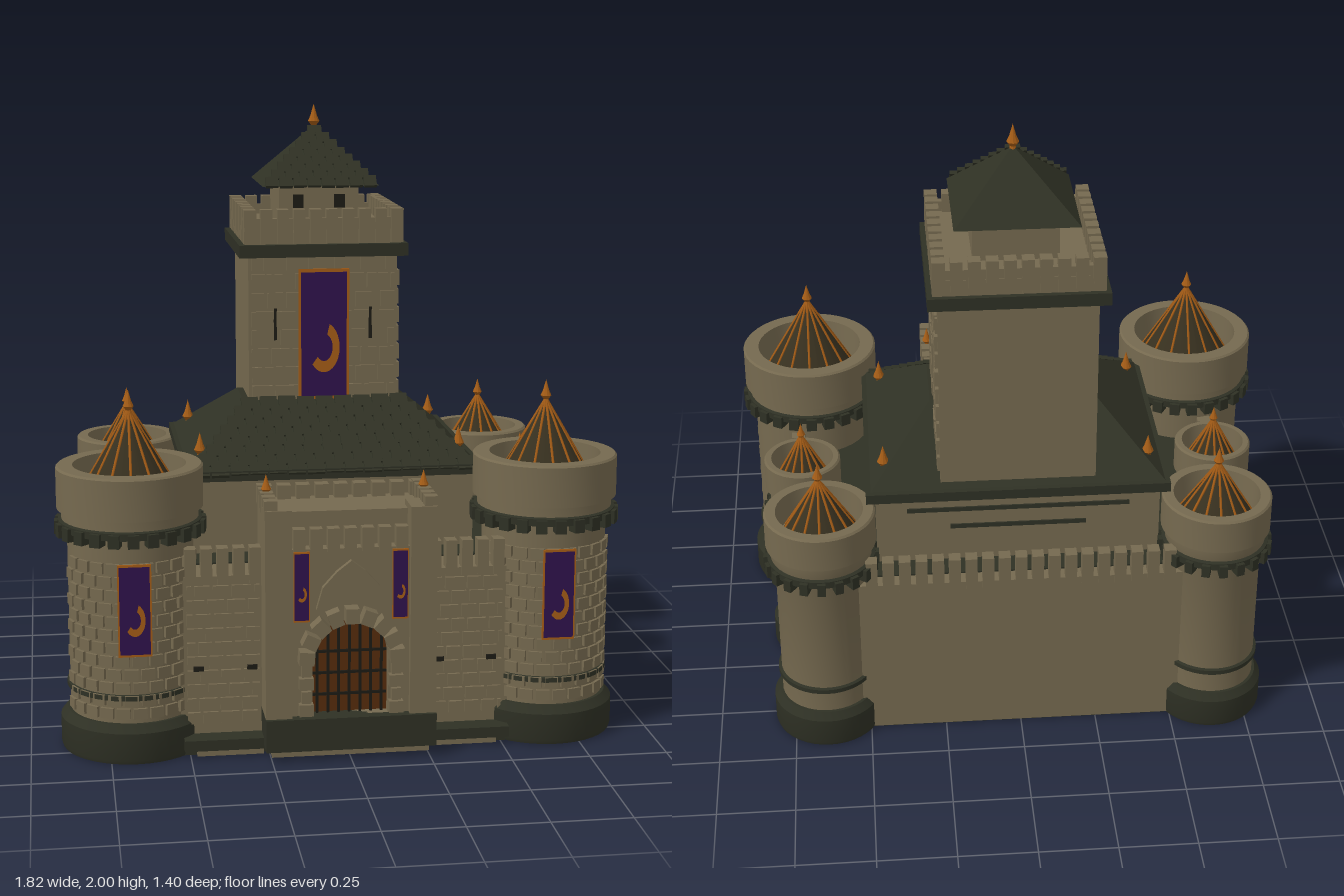
import * as THREE from 'three';
import { mergeGeometries, toCreasedNormals } from 'three/addons/utils/BufferGeometryUtils.js';

const mat = (name, color, side = THREE.FrontSide) => {
  const m = new THREE.MeshStandardMaterial({ color, side });
  m.name = name;
  return m;
};

export function createModel() {
  const stone = mat('stone', 0x75694f), trim = mat('dark trim', 0x2e3024), roof = mat('roof slate', 0x2f3124),
    gold = mat('copper', 0xa45c16), purple = mat('banner purple', 0x2f124c), wood = mat('gate wood', 0x552b0c),
    iron = mat('dark iron', 0x1c1a14), coneMat = mat('cone slate', 0x37301f);
  const root = new THREE.Group();
  let seed = 7;
  const rnd = () => (seed = (seed * 16807) % 2147483647) / 2147483647;

  const add = (name, geo, m, parent = root) => {
    const list = Array.isArray(geo) ? geo : [geo];
    const g = list.length > 1 ? mergeGeometries(list.map(q => (q.index ? q.toNonIndexed() : q))) : list[0];
    const mesh = new THREE.Mesh(g, m);
    mesh.name = name;
    parent.add(mesh);
    return mesh;
  };
  // Box given by its extents
  const ext = (x0, x1, y0, y1, z0, z1) =>
    new THREE.BoxGeometry(x1 - x0, y1 - y0, z1 - z0).translate((x0 + x1) / 2, (y0 + y1) / 2, (z0 + z1) / 2);
  const lathe = (pts, seg = 40) =>
    toCreasedNormals(new THREE.LatheGeometry(pts.map(p => new THREE.Vector2(...p)), seg), 0.5);
  const rod = (a, b, r) => {
    const d = b.clone().sub(a);
    return new THREE.CylinderGeometry(r, r, d.length(), 5)
      .applyQuaternion(new THREE.Quaternion().setFromUnitVectors(new THREE.Vector3(0, 1, 0), d.clone().normalize()))
      .translate((a.x + b.x) / 2, (a.y + b.y) / 2, (a.z + b.z) / 2);
  };
  const finial = (x, y, z, h, parent = root) => add('finial', lathe([[0, 0], [h * 0.14, 0.02 * h], [h * 0.1, h * 0.2],
    [h * 0.22, h * 0.35], [h * 0.13, h * 0.55], [0, h]], 10).translate(x, y, z), gold, parent);

  // Courses of raised stones on a flat face, u along the face
  const courses = (u0, u1, y0, y1, rowH, w, skip = () => false) => {
    const out = [], rows = Math.round((y1 - y0) / rowH);
    for (let r = 0; r < rows; r++) {
      const y = y0 + (r + 0.5) * rowH;
      let u = u0 - (r % 2) * w * 0.5;
      while (u < u1 - 0.01) {
        const ww = w * (0.8 + 0.4 * rnd()), a = Math.max(u, u0), b = Math.min(u + ww, u1);
        if (b - a > 0.02 && !skip((a + b) / 2, y))
          out.push(ext(a + 0.005, b - 0.005, y - rowH * 0.41, y + rowH * 0.41, -0.005, 0.007 + 0.005 * rnd()));
        u += ww;
      }
    }
    return out;
  };
  // Row of merlons along u
  const merlons = (u0, u1, y0, y1, n, d) => Array.from({ length: n }, (_, i) => {
    const p = (u1 - u0) / (n - 0.3), a = u0 + i * p;
    return ext(a, a + p * 0.7, y0, y1, -d, 0.006);
  });
  const facing = (list, x, z, ry) => list.map(g => g.rotateY(ry).translate(x, 0, z));

  // Tapering roof: a box whose top face is moved to another rectangle
  const frustum = (b, t, y0, y1) => {
    const g = new THREE.BoxGeometry(2, 2, 2), p = g.attributes.position;
    for (let i = 0; i < p.count; i++) {
      const up = p.getY(i) > 0, q = up ? t : b;
      p.setXYZ(i, p.getX(i) > 0 ? q[1] : q[0], up ? y1 : y0, p.getZ(i) > 0 ? q[3] : q[2]);
    }
    g.computeVertexNormals();
    return g;
  };
  // Overlapping tiles on a front slope
  const tiles = (hx0, hx1, y0, y1, z0, z1, rows, w) => {
    const out = [], tilt = Math.atan2(z0 - z1, y1 - y0), len = Math.hypot(z0 - z1, y1 - y0) / rows;
    for (let r = 0; r < rows; r++) {
      const t = (r + 0.5) / rows, h = hx0 + (hx1 - hx0) * (r + 0.3) / rows;
      const n = Math.max(1, Math.round(2 * h / w)), p = 2 * h / n;
      for (let i = 0; i < n; i++)
        out.push(new THREE.BoxGeometry(p * 0.9, len * (1.1 + 0.25 * rnd()), 0.012).rotateX(-tilt - 0.0 + 0.06)
          .translate(-h + (i + 0.5) * p, y0 + (y1 - y0) * t, z0 + (z1 - z0) * t + 0.004));
    }
    return out;
  };

  // Hanging banner with border and a curved ornament
  const banner = (x, y0, y1, z, w) => {
    const g = new THREE.Group(), h = y1 - y0, y = (y0 + y1) / 2;
    g.name = 'banner';
    g.position.set(x, y, z);
    add('bannerBorder', new THREE.BoxGeometry(w, h, 0.006), gold, g);
    add('bannerCloth', new THREE.BoxGeometry(w * 0.9, h * 0.95, 0.009), purple, g);
    add('bannerOrnament', new THREE.RingGeometry(w * 0.17, w * 0.31, 20, 1, -2.4, 3.6)
      .scale(1, 1.6, 1).translate(0, -h * 0.1, 0.0055), gold, g);
    root.add(g);
  };

  // Round tower: r body, R parapet, heights of belt, parapet foot and rim
  const tower = (name, x, z, r, R, belt, foot, rim, apex, tip, nCorbel, stones) => {
    const g = new THREE.Group();
    g.name = name;
    g.position.set(x, 0, z);
    const c = R * 0.72, floor = rim - (rim - foot) * 0.8;
    add('towerBase', lathe([[0, 0], [R - 0.004, 0], [R, 0.012], [R, 0.1], [r + 0.01, 0.125], [r, 0.125]]), trim, g);
    add('towerBody', lathe([[r, 0.12], [r, belt], [R - 0.015, belt + 0.03], [R - 0.015, foot], [R, foot],
      [R, rim - 0.006], [R - 0.006, rim], [c + 0.012, rim], [c + 0.005, floor], [0, floor]]), stone, g);
    add('towerBand', lathe([[r, 0.197], [r + 0.01, 0.2], [r + 0.01, 0.215], [r, 0.218]]), trim, g);
    add('towerBelt', lathe([[r, belt], [R - 0.004, belt + 0.005], [R - 0.004, belt + 0.028], [R - 0.016, belt + 0.032]]), trim, g);
    add('towerCorbels', Array.from({ length: nCorbel }, (_, i) => new THREE.BoxGeometry(R * 0.15, 0.042, R - r + 0.012)
      .translate(0, belt + 0.004, (R + r) / 2 + 0.002).rotateY(i / nCorbel * Math.PI * 2)), trim, g);
    add('towerRoof', toCreasedNormals(new THREE.ConeGeometry(c, apex - floor, 24, 1, true), 0.5)
      .translate(0, (apex + floor) / 2, 0), coneMat, g);
    add('roofRibs', Array.from({ length: 12 }, (_, i) => {
      const a = i / 12 * Math.PI * 2;
      return rod(new THREE.Vector3(Math.sin(a) * c, floor, Math.cos(a) * c), new THREE.Vector3(0, apex, 0), 0.0045);
    }), gold, g);
    finial(0, apex - 0.02, 0, tip - apex + 0.02, g);
    if (stones) {
      const list = [];
      for (let k = 0; k < 12; k++) for (let i = 0; i < 10; i++) {
        const a = (i - 4.5 + (k % 2 ? 0.25 : -0.25)) * 0.26;
        list.push(new THREE.BoxGeometry(0.043, 0.034, 0.016).translate(0, 0.157 + k * 0.0425, r + 0.001).rotateY(a));
      }
      add('towerStones', list, stone, g);
    }
    root.add(g);
  };
  for (const s of [-1, 1]) {
    tower('frontTower', s * 0.67, 0.4, 0.2, 0.232, 0.715, 0.78, 0.915, 1.09, 1.15, 24, true);
    tower('backTower', s * 0.64, -0.515, 0.15, 0.178, 0.625, 0.7, 0.815, 0.93, 0.985, 20, false);
    tower('sideTower', s * 0.7, -0.08, 0.092, 0.128, 0.545, 0.64, 0.745, 0.83, 0.875, 16, false);
    banner(s * 0.67, 0.35, 0.645, 0.624, 0.105);
  }

  // Curtain walls, walkways and battlements
  add('plinth', ext(-0.755, 0.755, 0, 0.06, -0.605, 0.57), trim);
  add('curtainWall', ext(-0.735, 0.735, 0.005, 0.575, -0.61, 0.54), stone);
  add('courtyardRoof', ext(-0.62, 0.62, 0.57, 0.58, -0.56, 0.4), trim);
  const battlements = [...facing(merlons(-0.5, 0.5, 0.55, 0.665, 19, 0.035), 0, -0.61, Math.PI)], wallStones = [];
  for (const s of [-1, 1]) {
    battlements.push(...facing(merlons(-0.12, 0.12, 0.55, 0.665, 5, 0.04), s * 0.39, 0.54, 0));
    for (const [z, n] of [[0.11, 4], [-0.28, 5]])
      battlements.push(...facing(merlons(-n * 0.025, n * 0.025, 0.55, 0.665, n, 0.04), s * 0.735, z, s * Math.PI / 2));
    wallStones.push(...facing(courses(-0.12, 0.12, 0.09, 0.55, 0.046, 0.062), s * 0.39, 0.54, 0));
    for (const u of [0.3, 0.47]) {
      add('arrowSlit', ext(s * u - 0.016, s * u + 0.016, 0.27, 0.285, 0.548, 0.556), iron);
    }
    add('frontLedge', ext(Math.min(s * 0.27, s * 0.52), Math.max(s * 0.27, s * 0.52), 0.025, 0.06, 0.54, 0.61), trim);
    add('frontStep', ext(Math.min(s * 0.27, s * 0.48), Math.max(s * 0.27, s * 0.48), 0.005, 0.025, 0.54, 0.6), stone);
  }
  wallStones.push(...facing(courses(-0.24, 0.4, 0.09, 0.55, 0.046, 0.065), 0.735, 0, Math.PI / 2));
  add('battlements', battlements, stone);
  add('curtainStones', wallStones, stone);

  // Great hall with hipped roof
  add('hall', ext(-0.46, 0.46, 0.57, 0.83, -0.48, 0.28), stone);
  add('hallEaves', ext(-0.49, 0.49, 0.822, 0.855, -0.51, 0.305), trim);
  add('hallRoof', frustum([-0.48, 0.48, -0.5, 0.295], [-0.27, 0.27, -0.22, 0.02], 0.85, 1.03), roof);
  add('hallTiles', tiles(0.475, 0.265, 0.845, 1.035, 0.3, 0.02, 8, 0.062), roof);
  add('hallBackSlots', [ext(-0.36, 0.36, 0.765, 0.78, -0.485, -0.478), ext(-0.22, 0.22, 0.7, 0.715, -0.485, -0.478)], trim);
  for (const s of [-1, 1]) for (const z of [0.175, -0.38]) finial(s * 0.43, 0.87, z, 0.09);

  // Keep
  const kz = -0.235;
  add('keep', ext(-0.25, 0.25, 0.83, 1.52, -0.47, 0), stone);
  const nearSlit = (u, y) => Math.abs(Math.abs(u) - 0.16) < 0.035 && Math.abs(y - 1.29) < 0.07;
  add('keepStones', [...facing(courses(-0.245, 0.245, 1.02, 1.49, 0.0625, 0.075, nearSlit), 0, 0, 0),
    ...facing(courses(-0.23, 0.23, 0.9, 1.49, 0.0625, 0.075), 0.25, kz, Math.PI / 2)], stone);
  for (const s of [-1, 1])
    add('keepSlit', [ext(s * 0.16 - 0.005, s * 0.16 + 0.005, 1.23, 1.35, 0, 0.004),
      ext(s * 0.16 - 0.02, s * 0.16 + 0.02, 1.29, 1.3, 0, 0.004)], iron);
  add('keepBelt', ext(-0.282, 0.282, 1.51, 1.552, kz - 0.278, kz + 0.268), trim);
  add('keepParapet', ext(-0.26, 0.26, 1.55, 1.605, kz - 0.26, kz + 0.25), stone);
  const crown = [];
  for (let i = 0; i < 4; i++)
    crown.push(...facing(merlons(-0.265, 0.265, 1.555, 1.668, 10, 0.035), 0, 0, 0)
      .map(g => g.translate(0, 0, 0.26).rotateY(i * Math.PI / 2).translate(0, 0, kz)));
  for (let i = 0; i < 4; i++)
    crown.push(ext(-0.26, 0.26, 1.6, 1.638, 0.235, 0.258).rotateY(i * Math.PI / 2).translate(0, 0, kz));
  add('keepBattlements', crown, stone);
  add('lookout', ext(-0.135, 0.135, 1.6, 1.745, kz - 0.133, kz + 0.133), stone);
  for (const s of [-1, 1])
    add('lookoutWindow', ext(s * 0.07 - 0.018, s * 0.07 + 0.018, 1.66, 1.705, kz + 0.132, kz + 0.138), iron);
  add('keepRoof', frustum([-0.195, 0.195, kz - 0.195, kz + 0.195], [-0.004, 0.004, kz - 0.004, kz + 0.004], 1.737, 1.925), roof);
  add('keepTiles', tiles(0.195, 0.01, 1.74, 1.92, kz + 0.195, kz + 0.005, 8, 0.045), roof);
  finial(0, 1.91, kz, 0.09);
  banner(0, 1.03, 1.47, 0.022, 0.17);

  // Gatehouse
  add('gatePlinth', ext(-0.27, 0.27, 0.035, 0.14, 0.5, 0.68), trim);
  add('gateStep', ext(-0.25, 0.25, 0.012, 0.035, 0.5, 0.66), stone);
  add('gatehouse', ext(-0.265, 0.265, 0.1, 0.79, 0.4, 0.6), stone);
  const arch = (s, r) => s.moveTo(-r, 0.14).lineTo(-r, 0.33).absarc(0, 0.33, r, Math.PI, 0, true).lineTo(r, 0.14).lineTo(-r, 0.14);
  const front = new THREE.Shape().moveTo(-0.19, 0.14).lineTo(0.19, 0.14).lineTo(0.19, 0.68).lineTo(-0.19, 0.68);
  front.holes.push(arch(new THREE.Path(), 0.12));
  const extrude = (s, d, z) => new THREE.ExtrudeGeometry(s, { depth: d, bevelEnabled: false, curveSegments: 16 }).translate(0, 0, z);
  add('gateFront', extrude(front, 0.045, 0.6), stone);
  const surround = [];
  for (let i = 0; i < 9; i++)
    surround.push(new THREE.BoxGeometry(0.042, 0.048, 0.05).translate(0, 0.143, 0.67)
      .rotateZ((i - 4) * Math.PI / 8.4).translate(0, 0.33, 0));
  for (const s of [-1, 1]) for (let k = 0; k < 4; k++)
    surround.push(new THREE.BoxGeometry(k % 2 ? 0.03 : 0.045, 0.038, 0.035).translate(s * 0.142, 0.165 + k * 0.043, 0.655));
  add('gateArch', surround, stone);
  const gable = new THREE.Shape().moveTo(-0.11, 0.49).lineTo(-0.09, 0.56).lineTo(-0.045, 0.61).lineTo(0, 0.645)
    .lineTo(0.045, 0.61).lineTo(0.09, 0.56).lineTo(0.11, 0.49).lineTo(0.06, 0.5).lineTo(0, 0.58).lineTo(-0.06, 0.5);
  add('gateGable', extrude(gable, 0.02, 0.645), stone);
  add('gateDoor', extrude(arch(new THREE.Shape(), 0.12), 0.008, 0.602), wood);
  const bars = [];
  for (let i = -3; i <= 3; i++) {
    const x = i * 0.034, top = 0.33 + Math.sqrt(0.0144 - x * x);
    bars.push(ext(x - 0.004, x + 0.004, 0.14, top, 0.612, 0.622));
  }
  for (const y of [0.2, 0.27, 0.34]) bars.push(ext(-0.118, 0.118, y - 0.004, y + 0.004, 0.613, 0.62));
  add('portcullis', bars, iron);
  const gateTop = [...facing(merlons(-0.18, 0.18, 0.67, 0.745, 7, 0.03), 0, 0.645, 0),
    ...facing(merlons(-0.265, 0.265, 0.78, 0.835, 9, 0.035), 0, 0.4, Math.PI)];
  for (const s of [-1, 1]) {
    add('gatePilaster', ext(s * 0.228 - 0.042, s * 0.228 + 0.042, 0.12, 0.81, 0.55, 0.668), stone);
    gateTop.push(...facing(merlons(-0.125, 0.125, 0.78, 0.84, 5, 0.035), s * 0.265, 0.535, s * Math.PI / 2));
    finial(s * 0.25, 0.82, 0.52, 0.075);
    banner(s * 0.155, 0.45, 0.675, 0.655, 0.05);
  }
  add('gateBattlements', gateTop, stone);
  return root;
}
